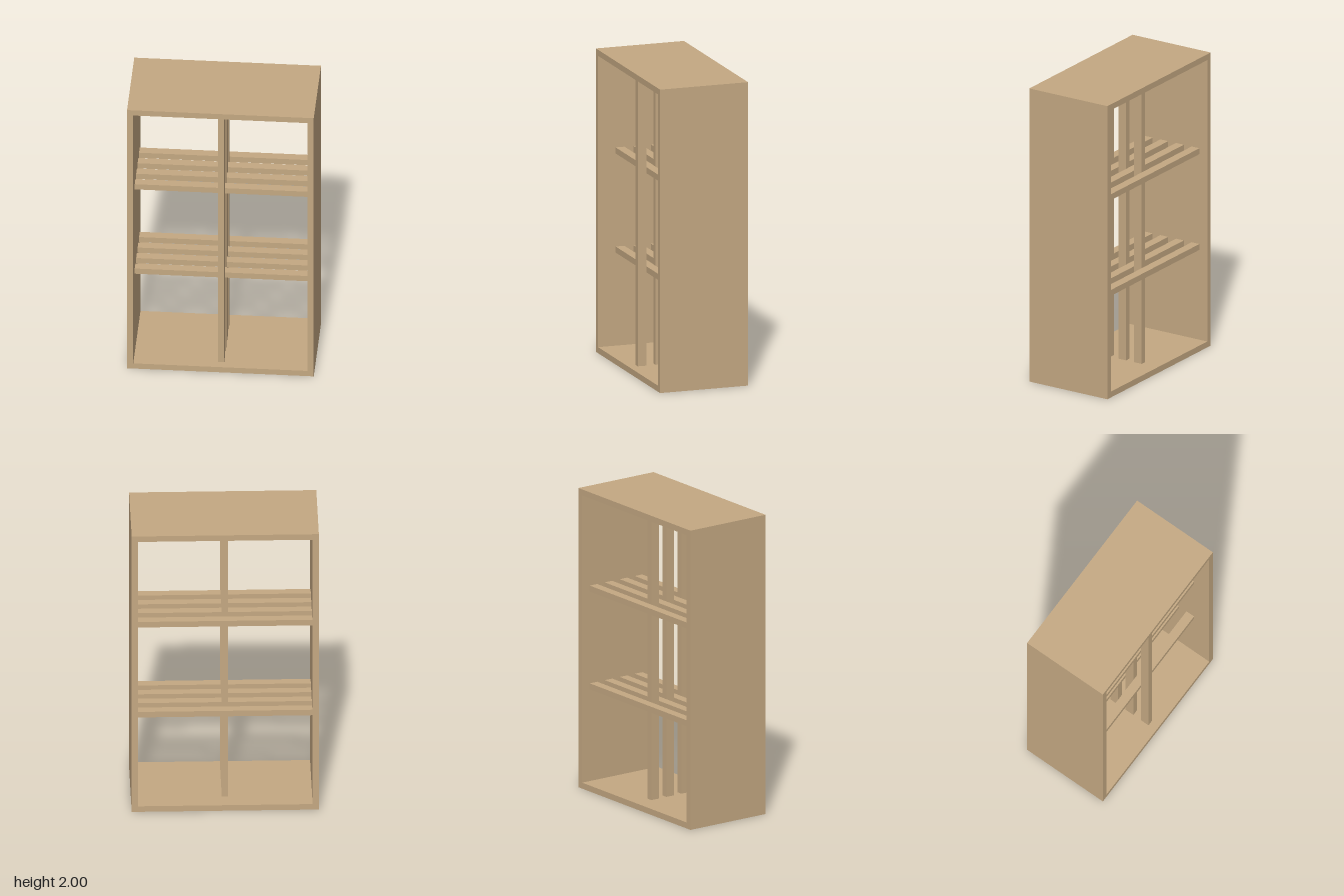
import * as THREE from 'three';

const W = 1.2, H = 2, D = 0.6, T = 0.04; // outer size and board thickness
const SLAT_DEPTH = 0.06, PITCH = 0.12, COUNT = 4;

function rectangle(target, x, y) {
  target.moveTo(-x, -y);
  target.lineTo(x, -y);
  target.lineTo(x, y);
  target.lineTo(-x, y);
  target.closePath();
  return target;
}

export function createModel() {
  const group = new THREE.Group();
  group.name = 'slattedShelf';
  const wood = new THREE.MeshStandardMaterial({ color: 0xc4a882 });
  wood.name = 'light wood';

  // Outer case, open at front and back
  const outline = rectangle(new THREE.Shape(), W / 2, H / 2);
  outline.holes.push(rectangle(new THREE.Path(), W / 2 - T, H / 2 - T));
  const caseGeometry = new THREE.ExtrudeGeometry(outline, { depth: D, bevelEnabled: false });
  caseGeometry.translate(0, H / 2, -D / 2);
  const frame = new THREE.Mesh(caseGeometry, wood);
  frame.name = 'case';
  group.add(frame);

  // Row of equal slats running from front to back
  function slatRow(name, width, height, y, firstZ) {
    const row = new THREE.Group();
    row.name = name;
    const geometry = new THREE.BoxGeometry(width, height, SLAT_DEPTH);
    for (let i = 0; i < COUNT; i++) {
      const slat = new THREE.Mesh(geometry, wood);
      slat.name = `${name}Slat${i + 1}`;
      slat.position.set(0, y, firstZ - i * PITCH);
      row.add(slat);
    }
    group.add(row);
  }

  // Upright divider, its slats alternating in depth with the shelf slats
  slatRow('divider', T, H - 2 * T, H / 2, 0.21);

  // Two shelves splitting the inside into three equal heights
  const bay = (H - 4 * T) / 3;
  slatRow('lowerShelf', W - 2 * T, T, T + bay + T / 2, 0.15);
  slatRow('upperShelf', W - 2 * T, T, 2 * (T + bay) + T / 2, 0.15);

  return group;
}
